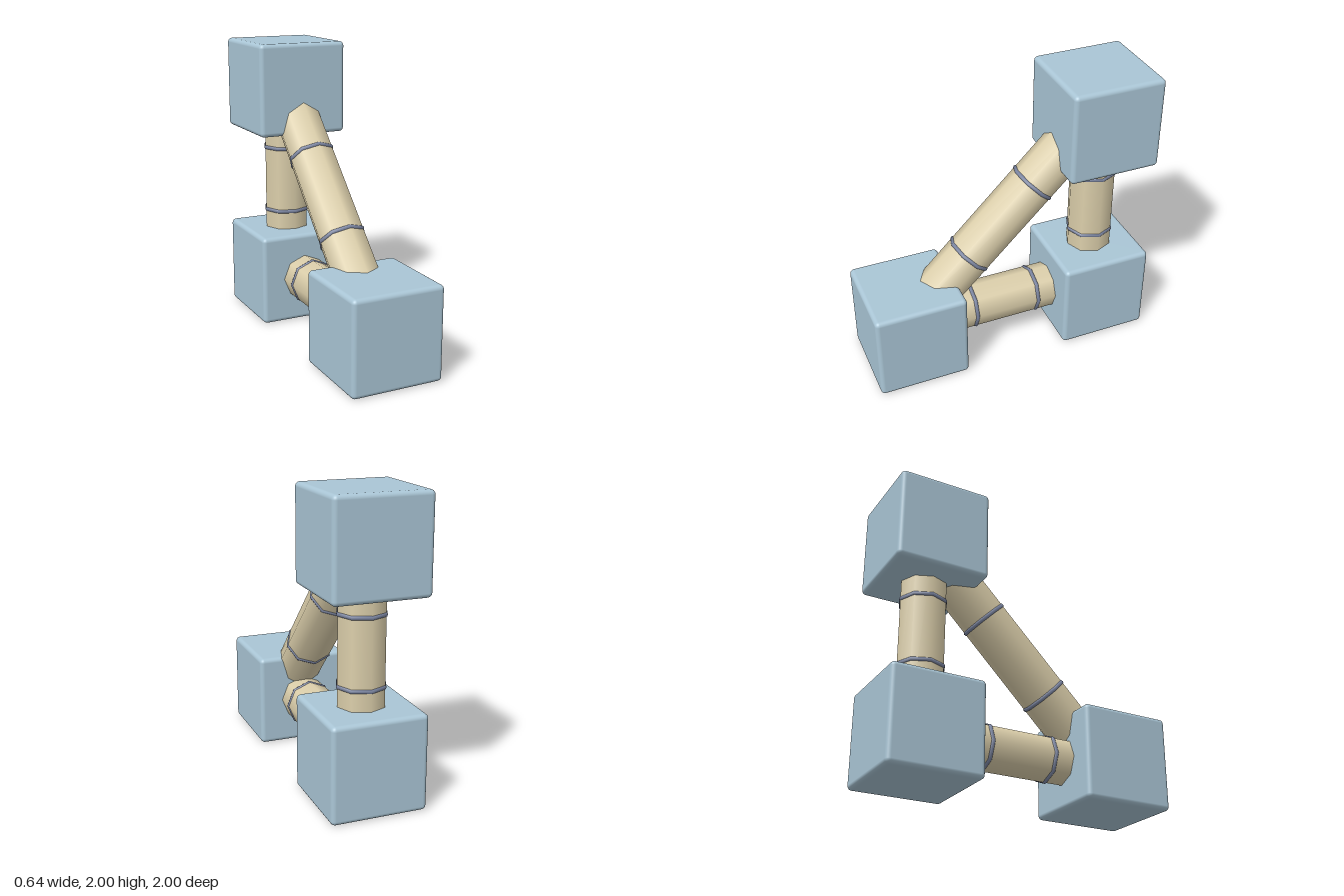
import * as THREE from 'three';
import { RoundedBoxGeometry } from 'three/addons/geometries/RoundedBoxGeometry.js';

export function createModel() {
  const model = new THREE.Group();
  model.name = 'linkedCubes';

  const make = (name, color) => {
    const m = new THREE.MeshStandardMaterial({ color });
    m.name = name;
    return m;
  };
  const blue = make('paleBlue', 0xaac6d6);
  const tan = make('sand', 0xdccfab);
  const slate = make('slateBlue', 0x7c86a2);

  const SIZE = 0.637, C = 1 - SIZE / 2;
  const corners = {
    frontCube: new THREE.Vector3(0, SIZE / 2, C),
    backCube: new THREE.Vector3(0, SIZE / 2, -C),
    topCube: new THREE.Vector3(0, 2 - SIZE / 2, -C),
  };

  // Rounded cubes at the three corners
  const cubeGeo = new RoundedBoxGeometry(SIZE, SIZE, SIZE, 4, 0.03);
  for (const [name, p] of Object.entries(corners)) {
    const cube = new THREE.Mesh(cubeGeo, blue);
    cube.name = name;
    cube.position.copy(p);
    model.add(cube);
  }

  // Eight-sided rod between two cube centres, with two collar rings
  const ringGeo = new THREE.TorusGeometry(0.151, 0.017, 8, 8).rotateX(Math.PI / 2);
  const addRod = (name, a, b) => {
    const rod = new THREE.Group();
    rod.name = name;
    const dir = b.clone().sub(a), length = dir.length();
    rod.position.copy(a).add(b).multiplyScalar(0.5);
    rod.rotation.x = Math.atan2(dir.z, dir.y);

    const tube = new THREE.Mesh(new THREE.CylinderGeometry(0.16, 0.16, length, 8, 1, true), tan);
    tube.name = name + 'Tube';
    rod.add(tube);
    for (const s of [-1, 1]) {
      const ring = new THREE.Mesh(ringGeo, slate);
      ring.name = name + 'Ring';
      ring.position.y = s * length * 0.17;
      rod.add(ring);
    }
    model.add(rod);
  };
  addRod('baseRod', corners.backCube, corners.frontCube);
  addRod('uprightRod', corners.backCube, corners.topCube);
  addRod('diagonalRod', corners.frontCube, corners.topCube);

  return model;
}
